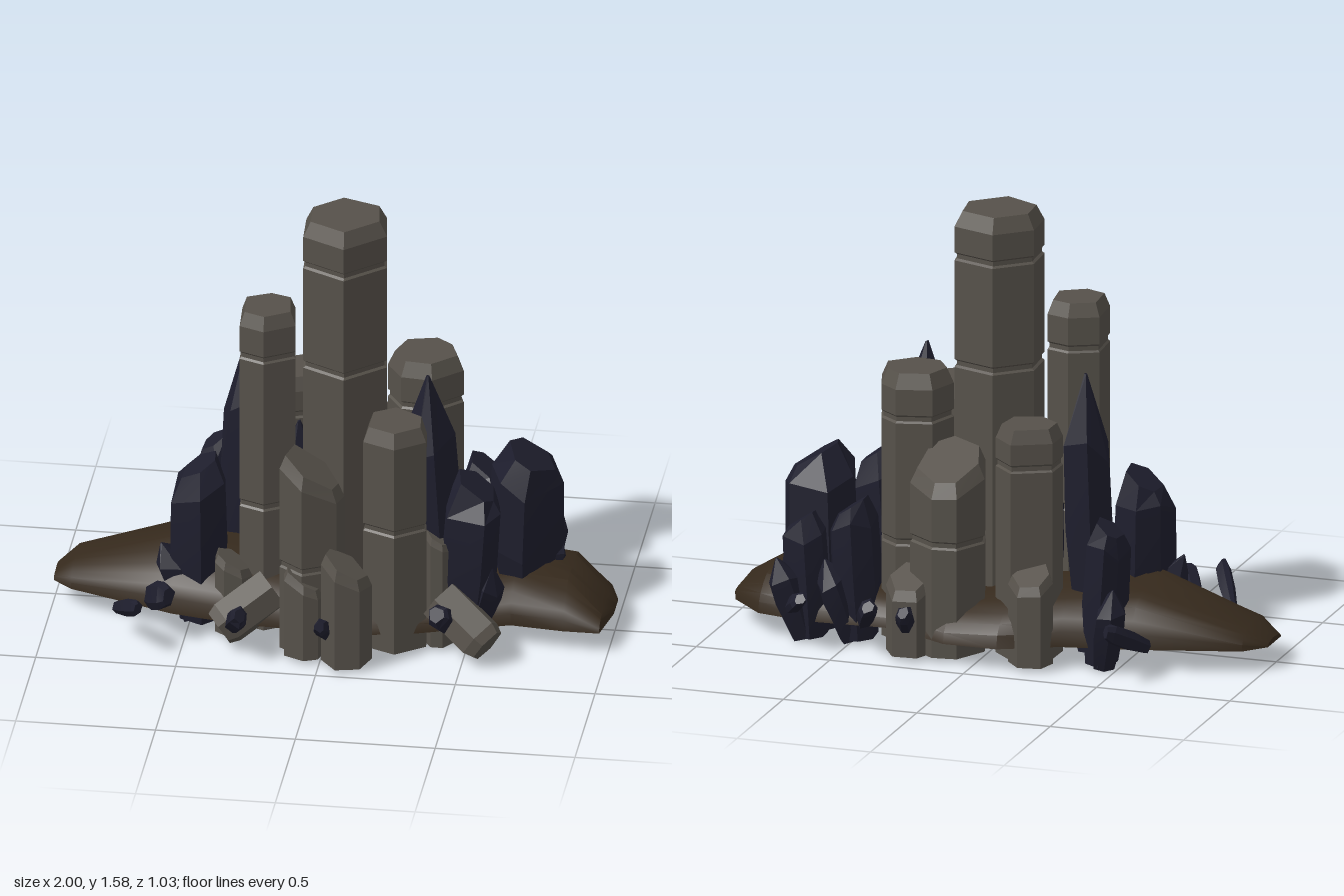
import * as THREE from 'three';
import { toCreasedNormals } from 'three/addons/utils/BufferGeometryUtils.js';

const material = (name, color) => {
  const m = new THREE.MeshStandardMaterial({ color });
  m.name = name;
  return m;
};

// Small seeded generator for irregular facets
function seeded(seed) {
  let s = seed * 7919 + 17;
  return () => (s = (s * 16807) % 2147483647) / 2147483647;
}

// Skin closed rings of points, with a fan cap at both ends
function loft(rings, crease) {
  const pos = [];
  const tri = (...pts) => pts.forEach((p) => pos.push(p.x, p.y, p.z));
  const n = rings[0].length;
  const middle = (ring) => ring.reduce((a, p) => a.add(p), new THREE.Vector3()).divideScalar(n);
  const first = rings[0], last = rings[rings.length - 1];
  const c0 = middle(first), c1 = middle(last);
  for (let i = 0; i < n; i++) {
    const j = (i + 1) % n;
    for (let k = 0; k < rings.length - 1; k++) {
      const a = rings[k], b = rings[k + 1];
      tri(a[i], a[j], b[j]);
      tri(a[i], b[j], b[i]);
    }
    tri(c0, first[j], first[i]);
    tri(c1, last[i], last[j]);
  }
  const geo = new THREE.BufferGeometry();
  geo.setAttribute('position', new THREE.Float32BufferAttribute(pos, 3));
  return toCreasedNormals(geo, crease);
}

// Irregular polygon outline of unit radius
function outline(sides, seed, jitter) {
  const rnd = seeded(seed);
  rnd();
  const turn = rnd() * Math.PI;
  return Array.from({ length: sides }, (_, i) => {
    const a = turn + ((i + (rnd() - 0.5) * jitter) / sides) * Math.PI * 2;
    const r = 1 - rnd() * jitter * 0.35;
    return [Math.cos(a) * r, -Math.sin(a) * r];
  });
}

// Basalt prism: grooves around the shaft, bevelled and optionally slanted top
function columnGeometry(r, height, grooves, sx, sz, seed) {
  const shape = outline(seed % 3 === 0 ? 7 : 6, seed, 0.3);
  const ring = (y, s, slant = 0) => shape.map(([x, z]) =>
    new THREE.Vector3(x * r * s, y + slant * r * (x * sx + z * sz), z * r * s));
  const rings = [ring(0, 1)];
  for (const g of grooves) {
    rings.push(ring(g - 0.015, 1), ring(g - 0.008, 0.94), ring(g + 0.008, 0.94), ring(g + 0.015, 1));
  }
  const bevel = Math.min(0.055, r * 0.4);
  rings.push(ring(height - bevel, 1, 1), ring(height, 0.82, 1));
  return loft(rings, 0.2);
}

// Faceted crystal: tapering foot, wide body, then a point or a blunt sloping top
function crystalGeometry(r, length, blunt, slope, seed) {
  const shape = outline(6, seed, 0.45);
  const rnd = seeded(seed + 50);
  rnd();
  const dx = (rnd() - 0.5) * r * 0.4, dz = (rnd() - 0.5) * r * 0.4;
  const ring = (t, s, off, wobble) => shape.map(([x, z], i) => new THREE.Vector3(
    x * r * s + dx * off,
    t * length + (i % 3 - 1) * wobble * length - off * slope * x * r * s,
    z * r * s * 1.25 + dz * off));
  return loft([ring(0, 0.7, 0, 0), ring(0.45, 1, 0, 0.03), ring(blunt ? 0.86 : 0.74, 0.95, 0.3, 0.04),
    ring(1, blunt ? 0.6 : 0.06, 1, 0)], 0.2);
}

export function createModel() {
  const model = new THREE.Group();
  const stone = material('basalt grey', 0x56514a);
  const navy = material('crystal navy', 0x1e1e2d);
  const earth = material('earth brown', 0x35291c);
  const up = new THREE.Vector3(0, 1, 0);
  const floor = 0.035;

  const add = (name, geo, mat, base, dir = up) => {
    const mesh = new THREE.Mesh(geo, mat);
    mesh.name = name;
    mesh.position.copy(base);
    mesh.quaternion.setFromUnitVectors(up, dir.clone().normalize());
    model.add(mesh);
  };

  // Standing columns: x, z, radius, top, groove, slant (sideways in front, in depth behind)
  [
    [0.035, 0, 0.173, 1.6, 1.04, 0],
    [-0.23, 0.09, 0.125, 1.27, 0.52, 0],
    [0.308, -0.12, 0.142, 1.02, 0.4, 0],
    [0.24, 0.2, 0.134, 0.9, 0.51, 0],
    [-0.15, -0.22, 0.124, 0.88, 0.74, 0],
    [0.13, -0.265, 0.144, 0.73, 0.45, 0.4],
    [-0.045, 0.275, 0.124, 0.73, 0.37, -0.6],
  ].forEach(([x, z, r, top, groove, slant], i) => {
    const grooves = top > 1 ? [groove, top - 0.165] : [groove];
    const geo = columnGeometry(r, top - floor, grooves.map((g) => g - floor),
      z > 0 ? slant : 0, z > 0 ? 0 : slant, i + 1);
    add('basaltColumn', geo, stone, new THREE.Vector3(x, floor, z));
  });

  // Short stumps around them: x, z, radius, top
  [
    [0.095, 0.39, 0.1, 0.41],
    [-0.06, 0.35, 0.08, 0.33],
    [0.25, -0.35, 0.095, 0.31],
    [-0.2, -0.34, 0.085, 0.36],
    [-0.34, 0.2, 0.075, 0.31],
    [0.4, 0.2, 0.062, 0.45],
  ].forEach(([x, z, r, top], i) => {
    const geo = columnGeometry(r, top - floor, [], z > 0 ? -0.5 : 0, z > 0 ? 0 : 0.4, i + 8);
    add('basaltStump', geo, stone, new THREE.Vector3(x, floor, z));
  });

  // A fallen column on each side
  for (const side of [-1, 1]) {
    const base = new THREE.Vector3(0.11 + side * 0.3, 0.215, 0.23);
    const dir = new THREE.Vector3(side * 0.18, -0.125, 0.09);
    add('fallenColumn', columnGeometry(0.092, dir.length(), [], 0, 0, 21 + side), stone, base, dir);
  }

  // Crystals: x, z, radius, top, sideways lean; low ones are blunt
  [
    [0.41, 0.11, 0.1, 1.04, -0.07],
    [-0.36, -0.1, 0.095, 1.05, 0.04],
    [0.66, -0.1, 0.15, 0.65, 0],
    [0.48, 0.12, 0.13, 0.62, 0.04],
    [0.48, -0.23, 0.105, 0.52, 0.03],
    [0.65, -0.27, 0.09, 0.46, 0.02],
    [-0.47, 0.1, 0.125, 0.62, -0.01],
    [-0.43, -0.25, 0.09, 0.54, -0.03],
    [-0.13, 0.03, 0.095, 0.79, -0.01],
  ].forEach(([x, z, r, top, lean], i) => {
    const base = new THREE.Vector3(x, floor, z);
    const dir = new THREE.Vector3(lean, top - floor, 0);
    add('crystal', crystalGeometry(r, dir.length(), top < 0.7, Math.sign(x) * 0.6, i + 31), navy, base, dir);

    // Smaller crystal splaying outwards from the foot
    const splay = new THREE.Vector3(x, 0, z * 2).normalize().multiplyScalar(0.1).setY(0.3);
    const foot = new THREE.Vector3(x, floor, z).addScaledVector(splay, 0.3).setY(floor);
    add('footCrystal', crystalGeometry(0.065, splay.length(), false, 0, i + 41), navy, foot, splay);
  });

  // Loose shards around the rim: x, z, radius
  [
    [-0.57, -0.38, 0.033],
    [-0.69, 0.36, 0.03],
    [-0.6, 0.25, 0.045],
    [-0.3, 0.41, 0.04],
    [0.02, 0.44, 0.03],
    [0.44, 0.3, 0.045],
    [0.4, -0.39, 0.038],
    [0.68, -0.37, 0.032],
    [0.24, -0.43, 0.035],
  ].forEach(([x, z, r], i) => {
    const dir = new THREE.Vector3(-x * 0.15, 0.1, Math.sign(z) * (Math.abs(x) > 0.5 ? 0.19 : 0.13));
    const base = new THREE.Vector3(x, 0.17, z).addScaledVector(dir, -0.5);
    add('crystalShard', crystalGeometry(r, dir.length(), true, 0.5, i + 51), navy, base, dir);
  });

  // Earth mound: stations of x, back z, front z, crest height above a flat base
  const stations = [
    [-1, -0.09, 0.05, 0.02], [-0.93, -0.17, 0.11, 0.08], [-0.55, -0.28, 0.25, 0.2],
    [-0.3, -0.33, 0.3, 0.19], [-0.1, -0.43, 0.31, 0.17], [0.1, -0.43, 0.33, 0.14],
    [0.33, -0.31, 0.28, 0.12], [0.65, -0.33, 0.17, 0.155], [0.84, -0.29, 0.19, 0.14],
    [0.97, -0.16, 0.19, 0.055], [1, -0.08, 0.03, 0.015],
  ];
  const arch = 14;
  const rings = stations.map(([x, z0, z1, h], k) => Array.from({ length: arch + 1 }, (_, i) => {
    const a = (i / arch) * Math.PI;
    const lump = 1 + 0.07 * Math.sin(i * 1.3 + k * 1.9) * Math.sin(a);
    return new THREE.Vector3(x, 0.1 + h * lump * Math.pow(Math.abs(Math.sin(a)), 0.85),
      (z0 + z1) / 2 - ((z1 - z0) / 2) * Math.cos(a));
  }));
  add('earthMound', loft(rings, 0.6), earth, new THREE.Vector3());

  return model;
}
